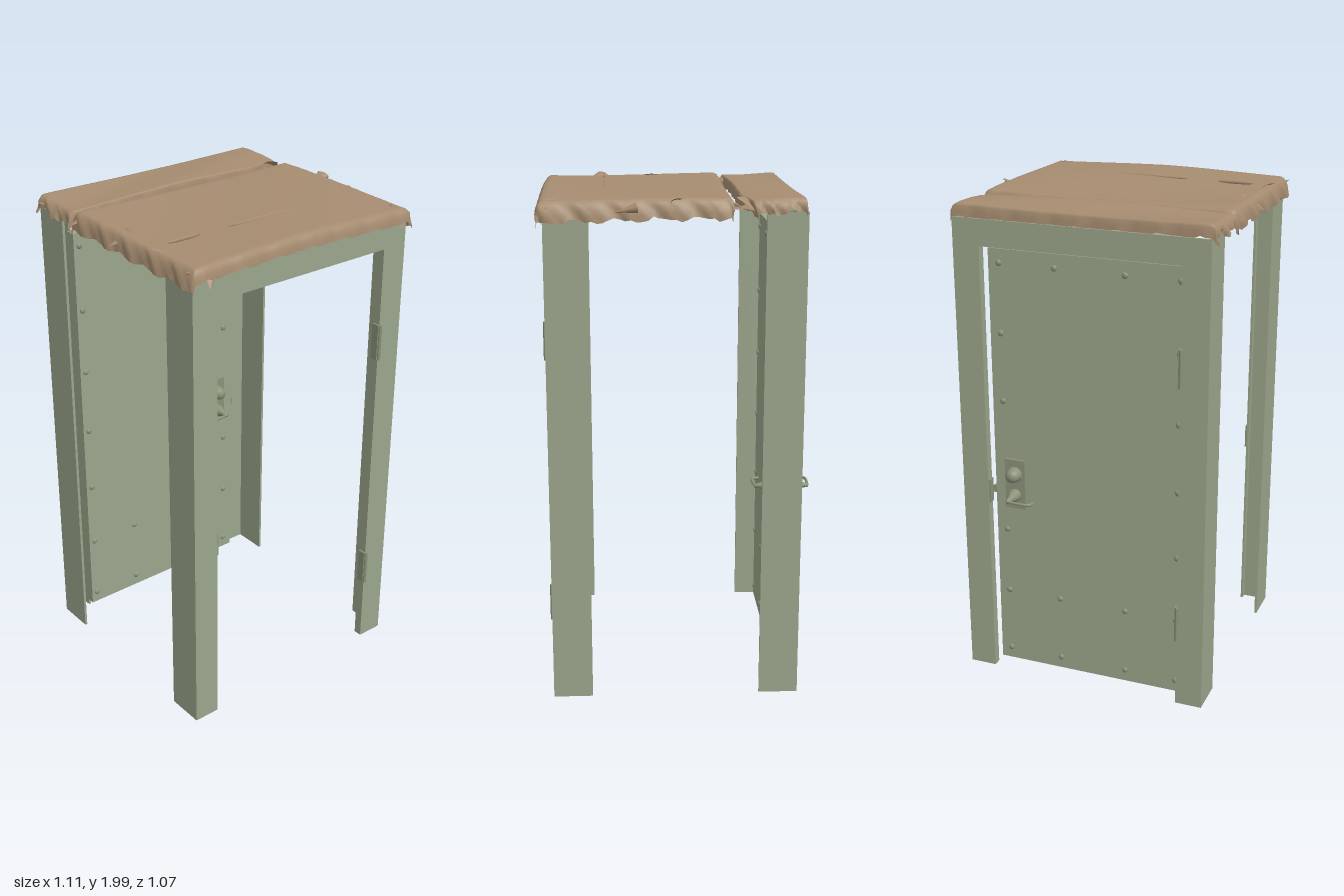
import * as THREE from 'three';

const paint = new THREE.MeshStandardMaterial({ color: 0x9ba58b });
const steel = new THREE.MeshStandardMaterial({ color: 0x8a9379 });
const cloth = new THREE.MeshStandardMaterial({ color: 0xa68c70, side: THREE.DoubleSide });

function add(parent, name, geo, mat, x = 0, y = 0, z = 0) {
  const m = new THREE.Mesh(geo, mat);
  m.name = name;
  m.position.set(x, y, z);
  parent.add(m);
  return m;
}

// Box given by its limits on each axis
function slab(parent, name, x0, x1, y0, y1, z0, z1, mat = paint) {
  return add(parent, name, new THREE.BoxGeometry(x1 - x0, y1 - y0, z1 - z0), mat,
    (x0 + x1) / 2, (y0 + y1) / 2, (z0 + z1) / 2);
}

// Door frame of folded sheet: outer wall, face and short inner return. Face at z = 0.
function makeFrame(name, hingeSide) {
  const g = new THREE.Group();
  g.name = name;
  const W = 0.515, I = 0.405, T = 0.01, D = 0.155, R = 0.035, TOP = 1.93, OPEN = 1.825;
  for (const s of [-1, 1]) {
    // J-shaped post section, drawn in x and depth, extruded upwards
    const pts = [[W, 0], [W, D], [W - T, D], [W - T, T], [I + T, T], [I + T, R], [I, R], [I, 0]];
    const shape = new THREE.Shape(pts.map(([x, d]) => new THREE.Vector2(s * x, d)));
    const geo = new THREE.ExtrudeGeometry(shape, { depth: TOP, bevelEnabled: false });
    geo.rotateX(-Math.PI / 2);
    add(g, s > 0 ? 'leftPost' : 'rightPost', geo, paint);
  }
  slab(g, 'lintelFace', -I, I, OPEN, TOP, -T, 0);
  slab(g, 'lintelTop', -I, I, TOP - T, TOP, -D, -T);
  slab(g, 'lintelReturn', -I, I, OPEN, OPEN + T, -R, -T);
  for (const y of [0.365, 1.435]) {
    add(g, 'hingeBarrel', new THREE.CylinderGeometry(0.007, 0.007, 0.15, 10), steel, hingeSide * 0.407, y, 0.004);
    slab(g, 'hingeLeaf', hingeSide * 0.4 - 0.004, hingeSide * 0.4 + 0.004, y - 0.075, y + 0.075, -0.03, 0.002, steel);
  }
  slab(g, 'strikePlate', -hingeSide * 0.402 - 0.004, -hingeSide * 0.402 + 0.004, 0.76, 0.86, -0.033, -0.004, steel);
  return g;
}

// One face of the door furniture, pointing along +z
function makeHandle(name) {
  const g = new THREE.Group();
  g.name = name;
  slab(g, 'plate', -0.043, 0.043, 0.745, 0.957, 0, 0.01, steel);
  const turn = (pts, y, n) => {
    const geo = new THREE.LatheGeometry(pts.map(p => new THREE.Vector2(...p)), 20);
    geo.rotateX(Math.PI / 2);
    add(g, n, geo, steel, 0, y, 0);
  };
  turn([[0.032, 0.01], [0.03, 0.025], [0.024, 0.045], [0.012, 0.053], [0, 0.054]], 0.895, 'lockCylinder');
  turn([[0.026, 0.01], [0.024, 0.03], [0.012, 0.06], [0.008, 0.085], [0, 0.09]], 0.805, 'leverBase');
  const path = new THREE.CatmullRomCurve3([[0, 0.083], [-0.03, 0.086], [-0.085, 0.086], [-0.097, 0.078], [-0.098, 0.058]]
    .map(([x, z]) => new THREE.Vector3(x, 0.805, z)));
  add(g, 'lever', new THREE.TubeGeometry(path, 20, 0.006, 8), steel);
  return g;
}

function makeDoor() {
  const g = new THREE.Group();
  g.name = 'door';
  const z0 = -0.448, z1 = -0.402;
  slab(g, 'doorPanel', -0.415, 0.388, 0.035, 1.815, z0, z1);
  slab(g, 'latch', 0.386, 0.41, 0.79, 0.82, -0.432, -0.418, steel);
  // Bolts on both faces
  const spots = [];
  for (const y of [0.085, 0.36, 0.64, 0.92, 1.2, 1.48, 1.76]) {
    spots.push([-0.388, y]);
    if (y !== 0.92) spots.push([0.345, y]);
    if (y < 0.5 || y > 1.7) spots.push([-0.17, y], [0.115, y]);
  }
  const bolt = new THREE.SphereGeometry(0.013, 10, 6);
  for (const [x, y] of spots) for (const z of [z0, z1]) add(g, 'bolt', bolt, steel, x, y, z).scale.z = 0.6;
  const inner = makeHandle('innerHandle');
  inner.position.set(0.3, 0, z1);
  const outer = makeHandle('outerHandle');
  outer.position.set(0.3, 0, z0);
  outer.scale.z = -1;
  g.add(inner, outer);
  return g;
}

const ruffle = t => 0.5 * Math.sin(t * 23 + 1) + 0.3 * Math.sin(t * 47 + 2) + 0.2 * Math.sin(t * 91);

// Draped sheet: flat in the middle, rounded and hanging raggedly at its rims
function makeSheet(name, z0, z1, hang, bend) {
  const geo = new THREE.PlaneGeometry(2, 2, 64, 40);
  const p = geo.attributes.position;
  const cz = (z0 + z1) / 2, hz = (z1 - z0) / 2;
  const F = 0.84;
  for (let i = 0; i < p.count; i++) {
    const u = p.getX(i), v = -p.getY(i);
    // Outer part of each direction curls over as a quarter round
    const a = Math.max(0, (Math.abs(u) - F) / (1 - F)), b = Math.max(0, (Math.abs(v) - F) / (1 - F));
    const curl = (t, q) => Math.sign(t) * (Math.min(Math.abs(t), F) / F * 0.94 + 0.06 * Math.sin(q * Math.PI / 2));
    const x = curl(u, a) * 0.53 + Math.sign(u) * a * 0.012 * ruffle(v * hz * 2 + cz + u);
    let z = cz + curl(v, b) * hz + Math.sign(v) * b * 0.005 * ruffle(u);
    z += bend(u, v);
    const drop = (q, h) => h * (1 - Math.cos(q * Math.PI / 2));
    const hv = v > 0 ? hang.front : hang.back;
    let y = 1.982 + 0.005 * Math.sin(u * 3 + v * 2) - 0.006 * Math.abs(u);
    y -= Math.max(drop(a, hang.side + 0.014 * ruffle(v * hz * 2 + 0.3)), drop(b, hv + 0.008 * ruffle(u + 0.7)));
    y -= a * b * 0.02;
    p.setXYZ(i, x, y, z);
  }
  geo.computeVertexNormals();
  return new THREE.Mesh(geo, cloth).translateX(0).add(new THREE.Group()), Object.assign(new THREE.Mesh(geo, cloth), { name });
}

// Small curled, torn scrap of the covering
function makeScrap(x, y, z, size, yaw, pitch) {
  const geo = new THREE.ConeGeometry(size * 0.5, size, 7, 3, true, 0, 3.6);
  geo.scale(1, 1, 0.45);
  geo.rotateX(Math.PI / 2 + pitch);
  geo.rotateY(yaw);
  return Object.assign(new THREE.Mesh(geo, cloth), { name: 'tornScrap' }).translateX(x).translateY(y).translateZ(z);
}

function makeRoof() {
  const g = new THREE.Group();
  g.name = 'roof';
  g.add(makeSheet('rearStrip', -0.472, -0.235, { side: 0.05, front: 0.045, back: 0.05 },
    (u, v) => (v > 0 ? -0.055 * v * Math.max(0, (u - 0.6) / 0.4) : 0)));
  g.add(makeSheet('mainSheet', -0.215, 0.525, { side: 0.072, front: 0.052, back: 0.035 },
    (u, v) => (v < -0.5 ? (-v - 0.5) * 0.03 * (u < 0 ? u * 0.9 : u) : 0)));
  const scraps = [
    [0.5, 1.95, -0.25, 0.09, 2.2, 0.3], [0.46, 1.945, -0.21, 0.1, 2.9, 0.2], [0.51, 1.95, -0.15, 0.07, 1.6, 0.5],
    [0.5, 1.965, 0.01, 0.07, -1.3, 0.1], [0.515, 1.94, 0.2, 0.09, 0.1, 0.2], [0.5, 1.955, 0.485, 0.08, 1.4, 0.2],
    [-0.51, 1.95, -0.2, 0.08, -1.5, 0.3], [-0.505, 1.945, 0.06, 0.1, -1.7, 0.3], [-0.49, 1.965, 0.31, 0.08, 0.8, 0.1],
    [-0.44, 1.915, 0.5, 0.08, -0.5, 0.7], [0.47, 1.92, 0.5, 0.08, 0.6, 0.6], [-0.51, 1.95, 0.48, 0.07, -0.9, -0.4],
    [-0.4, 1.945, -0.2, 0.08, 0.3, 0.2], [-0.515, 1.95, -0.43, 0.06, -2, -0.4],
  ];
  for (const s of scraps) g.add(makeScrap(...s));
  // Long narrow creases across the main sheet
  for (const [x, len] of [[-0.37, 0.15], [0, 0.34]]) {
    const crease = add(g, 'crease', new THREE.SphereGeometry(1, 16, 6), cloth, x, 1.983, 0.272);
    crease.scale.set(len / 2, 0.007, 0.004);
  }
  return g;
}

export function createModel() {
  const model = new THREE.Group();
  model.name = 'doorShelter';
  const front = makeFrame('frontFrame', 1);
  front.position.set(0.005, 0, 0.5);
  const back = makeFrame('backFrame', 1);
  back.rotation.y = Math.PI;
  back.position.set(0.005, 0, -0.478);
  model.add(front, back, makeDoor(), makeRoof());
  return model;
}
